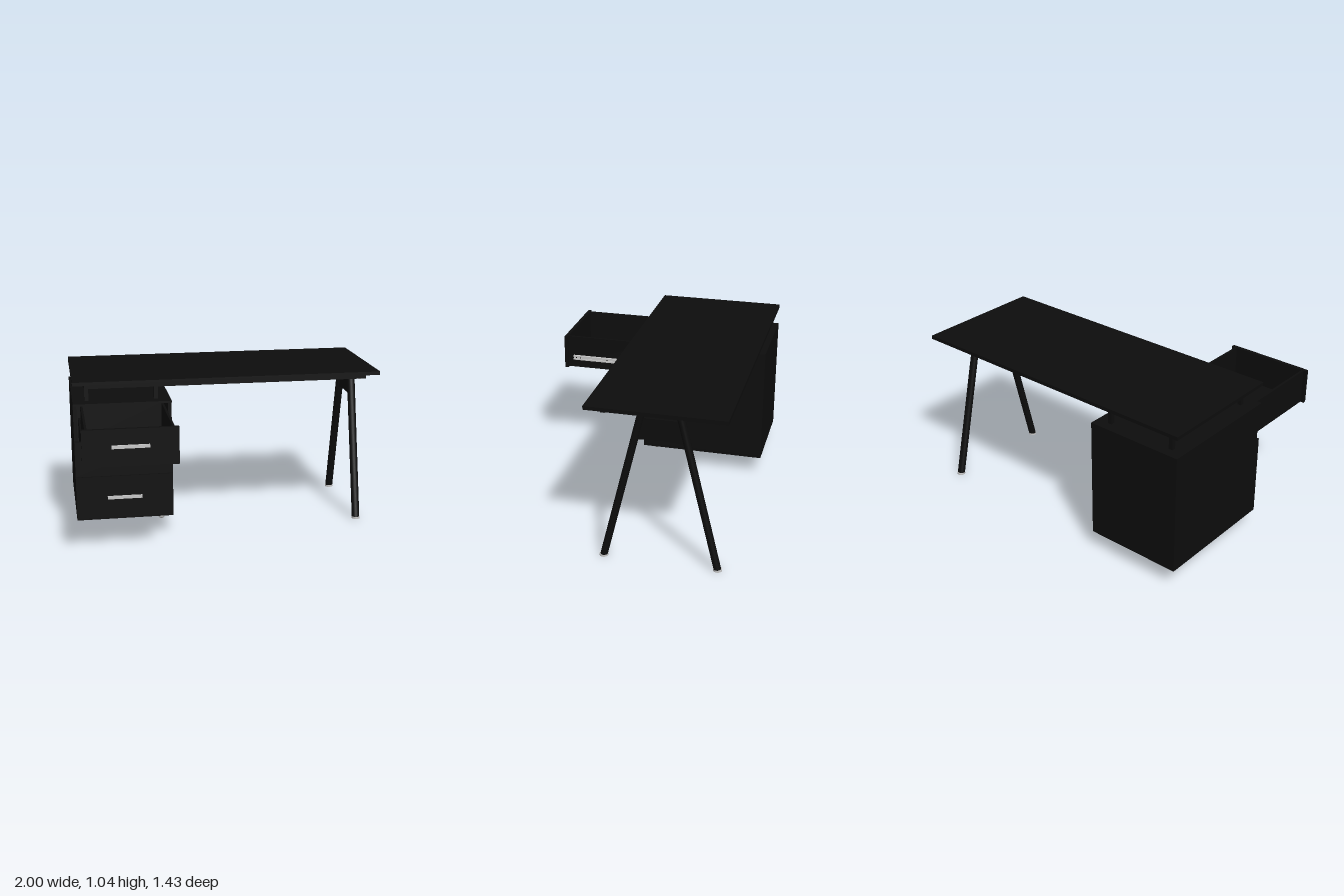
import * as THREE from 'three';

export function createModel() {
  const desk = new THREE.Group();
  desk.name = 'desk';
  const black = new THREE.MeshStandardMaterial({ color: 0x0d0d0d });
  black.name = 'black';
  const metal = new THREE.MeshStandardMaterial({ color: 0xc8c8c8 });
  metal.name = 'brushedMetal';

  const add = (parent, name, geo, mat) => {
    const m = new THREE.Mesh(geo, mat);
    m.name = name;
    parent.add(m);
    return m;
  };
  // Box given by its minimum and maximum on each axis
  const box = (parent, name, x0, x1, y0, y1, z0, z1, mat = black) => {
    const m = add(parent, name, new THREE.BoxGeometry(x1 - x0, y1 - y0, z1 - z0), mat);
    m.position.set((x0 + x1) / 2, (y0 + y1) / 2, (z0 + z1) / 2);
    return m;
  };
  const disc = (parent, name, r, x, y0, y1, z, mat) => {
    const m = add(parent, name, new THREE.CylinderGeometry(r, r, y1 - y0, 24), mat);
    m.position.set(x, (y0 + y1) / 2, z);
    return m;
  };
  const group = (name) => {
    const g = new THREE.Group();
    g.name = name;
    desk.add(g);
    return g;
  };

  // Table top
  box(desk, 'tableTop', -1, 1, 1.015, 1.038, -0.715, 0.123);

  // Frame below the top
  const frame = group('frame');
  for (const z of [0.028, -0.643]) {
    box(frame, 'longRail', -0.923, 0.93, 0.976, 1.0, z - 0.013, z + 0.013);
    for (const x of [-0.91, -0.465]) {
      box(frame, 'post', x - 0.013, x + 0.013, 0.895, 0.98, z - 0.013, z + 0.013);
    }
    for (const x of [-0.91, 0, 0.892]) {
      disc(frame, 'spacer', 0.019, x, 1.0, 1.0155, z, x === 0 ? metal : black);
      disc(frame, 'screwHead', 0.009, x, 0.973, 0.977, z, metal);
    }
  }
  box(frame, 'endRail', -0.923, -0.897, 0.976, 1.0, -0.631, 0.016);
  box(frame, 'endRail', 0.862, 0.922, 0.976, 1.0, -0.631, 0.016);
  for (const z of [-0.1, -0.52]) disc(frame, 'spacer', 0.019, 0.892, 1.0, 1.0155, z, black);

  // Splayed legs with flat-cut ends, sheared along z
  const trestle = group('trestle');
  const legX = 0.892, legTop = 0.976, zMid = -0.307;
  for (const side of [1, -1]) {
    const geo = new THREE.CylinderGeometry(0.026, 0.026, legTop - 0.012, 28);
    geo.scale(1, 1, 0.88);
    geo.translate(0, (legTop + 0.012) / 2, 0);
    geo.applyMatrix4(new THREE.Matrix4().set(
      1, 0, 0, legX,
      0, 1, 0, 0,
      0, -0.243 * side, 1, zMid + 0.354 * side,
      0, 0, 0, 1));
    add(trestle, 'leg', geo, black);
    disc(trestle, 'foot', 0.027, legX, 0, 0.013, zMid + 0.353 * side, metal);
  }
  // Gusset plate between the legs
  const plate = new THREE.Shape();
  plate.moveTo(-0.12, 0.955);
  plate.lineTo(0.12, 0.955);
  plate.lineTo(0.155, 0.81);
  plate.quadraticCurveTo(0, 0.835, -0.155, 0.81);
  plate.closePath();
  const gusset = add(trestle, 'gussetPlate',
    new THREE.ExtrudeGeometry(plate, { depth: 0.012, bevelEnabled: false }), black);
  gusset.rotation.y = -Math.PI / 2;
  gusset.position.set(legX + 0.006, 0, zMid);

  // Cabinet shell
  const cabinet = group('cabinet');
  const xL = -1, xR = -0.373, back = -0.715, front = 0.097;
  box(cabinet, 'cabinetTop', xL, xR, 0.885, 0.898, back, 0.121);
  box(cabinet, 'cabinetBottom', xL, xR, 0.125, 0.142, back, front);
  box(cabinet, 'bottomLip', xL, xR, 0.125, 0.131, front, 0.121);
  box(cabinet, 'sidePanel', xL, xL + 0.022, 0.142, 0.885, back, front);
  box(cabinet, 'sidePanel', xR - 0.022, xR, 0.142, 0.885, back, front);
  box(cabinet, 'backPanel', xL + 0.022, xR - 0.022, 0.142, 0.885, back, back + 0.018);

  // Single support ball under the front corner
  const ball = add(desk, 'supportBall', new THREE.SphereGeometry(0.022, 24, 16), metal);
  ball.position.set(-0.445, 0.105, 0.045);

  // Drawers: y0 to y1 is the front, zf its outer face, hx its half overhang
  const drawer = (name, y0, y1, zf, handleY, fx0, fx1) => {
    const g = group(name);
    const a = -0.953, b = -0.424, t = 0.014;
    const zi = zf - 0.023, zb = zf - 0.62, top = y1 - 0.002, low = y0 + 0.002;
    box(g, 'drawerFront', fx0, fx1, y0, y1, zi, zf);
    box(g, 'drawerSide', a, a + t, low, top, zb, zi);
    box(g, 'drawerSide', b - t, b, low, top, zb, zi);
    box(g, 'drawerBack', a + t, b - t, low, top, zb, zb + t);
    box(g, 'drawerBottom', a + t, b - t, low, low + t, zb + t, zi);
    // Handle with a grooved section
    box(g, 'handleBase', -0.8, -0.575, handleY - 0.009, handleY + 0.009, zf, zf + 0.004, metal);
    box(g, 'handleWeb', -0.8, -0.575, handleY - 0.004, handleY + 0.004, zf + 0.004, zf + 0.013, metal);
    box(g, 'handleGrip', -0.8, -0.575, handleY - 0.009, handleY + 0.009, zf + 0.013, zf + 0.018, metal);
    return g;
  };
  drawer('lowerDrawer', 0.133, 0.414, 0.12, 0.272, xL, xR);
  drawer('middleDrawer', 0.418, 0.65, 0.12, 0.543, xL, xR);
  const open = drawer('openDrawer', 0.655, 0.884, 0.698, 0.778, -0.974, -0.4);

  // Slide on the open drawer: two bright tracks around a dark groove
  box(open, 'slideBacking', -0.424, -0.416, 0.714, 0.745, 0.147, 0.639, metal);
  box(open, 'slideTrack', -0.416, -0.408, 0.735, 0.745, 0.147, 0.639, metal);
  box(open, 'slideTrack', -0.416, -0.408, 0.714, 0.723, 0.147, 0.639, metal);
  for (const z of [0.2, 0.225, 0.395, 0.59, 0.62]) {
    box(open, 'slideHole', -0.416, -0.415, 0.725, 0.733, z - 0.004, z + 0.004);
  }
  return desk;
}
